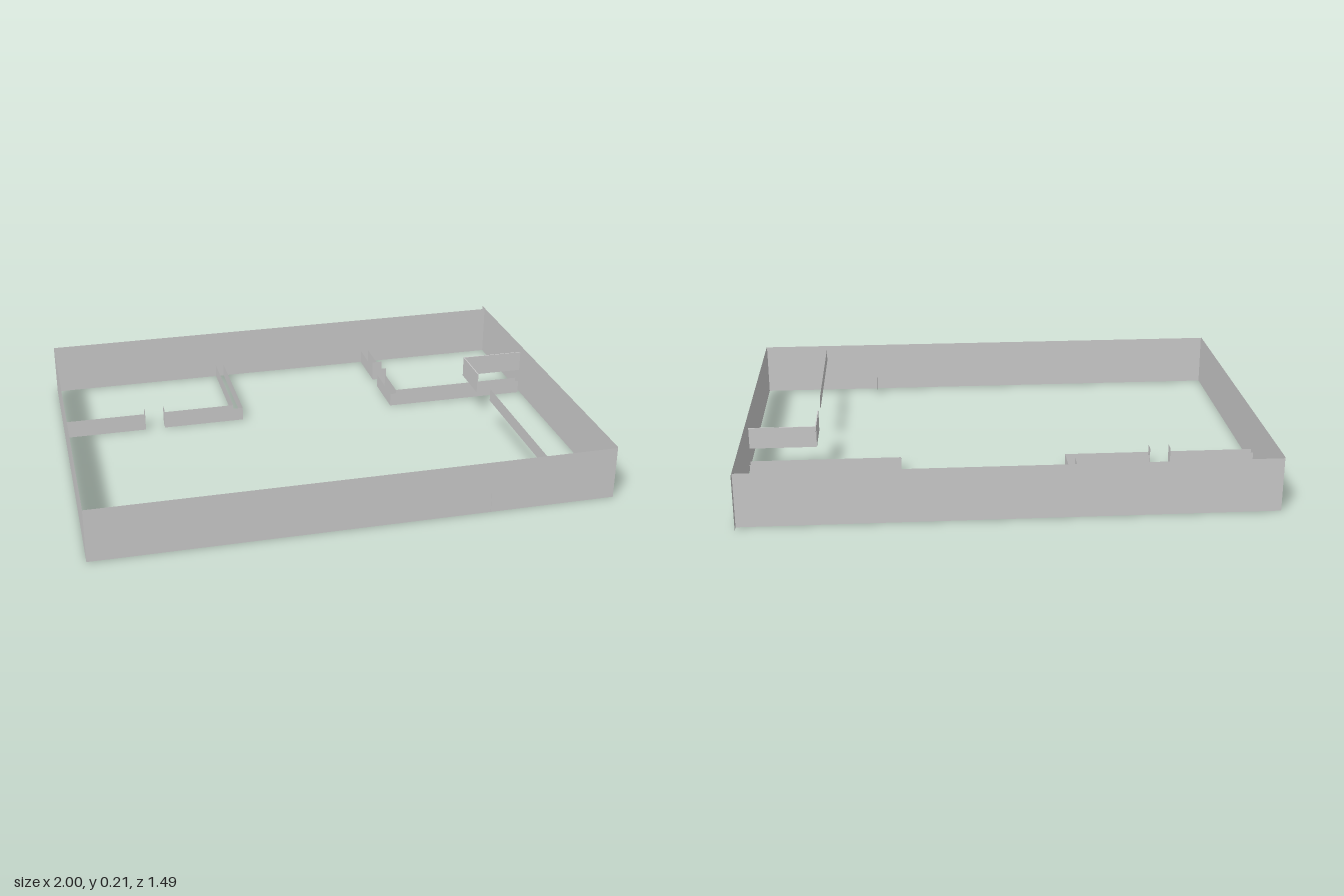
import * as THREE from 'three';

const material = new THREE.MeshStandardMaterial({ color: 0xcccccc, side: THREE.DoubleSide, flatShading: true });

// Upright sheet between two plan points, from height y0 to y1
function panel(name, [xa, za], [xb, zb], y0, y1) {
  const mesh = new THREE.Mesh(new THREE.PlaneGeometry(Math.hypot(xb - xa, zb - za), y1 - y0), material);
  mesh.name = name;
  mesh.position.set((xa + xb) / 2, (y0 + y1) / 2, (za + zb) / 2);
  mesh.rotation.y = -Math.atan2(zb - za, xb - xa);
  return mesh;
}

// Run of sheets through a list of plan points
function run(name, points, y0, y1) {
  const group = new THREE.Group();
  group.name = name;
  for (let i = 0; i < points.length - 1; i++) {
    group.add(panel(name + 'Panel', points[i], points[i + 1], y0, y1));
  }
  return group;
}

export function createModel() {
  const model = new THREE.Group();
  const back = -0.715, front = 0.745;

  // Outer walls; the left wall runs on past the back wall
  model.add(
    panel('frontWall', [-1, front], [1, front], 0, 0.21),
    panel('backWall', [-1, back], [1, back], 0, 0.21),
    panel('rightWall', [-1, back], [-1, front], 0, 0.214),
    panel('leftWall', [1, -0.745], [1, front], 0, 0.214),
  );

  // Low hollow partitions: an outer and an inner skin, open at the top
  const low = 0.055, t = 0.035;
  const skins = {
    rightRoomSide: [
      [[-0.584, -0.245], [-0.25, -0.245], [-0.25, back]],
      [[-0.584, -0.245 - t], [-0.25 - t, -0.245 - t], [-0.25 - t, back]],
    ],
    rightRoomStub: [
      [[-1, -0.245], [-0.665, -0.245]],
      [[-1, -0.245 - t], [-0.665, -0.245 - t]],
    ],
    leftRoomSide: [
      [[0.99, -0.23], [0.4, -0.23], [0.4, -0.435]],
      [[0.99, -0.23 - t], [0.4 + t, -0.23 - t], [0.4 + t, -0.435]],
    ],
    leftRoomStub: [
      [[0.4, -0.51], [0.4, back]],
      [[0.4 + t, -0.51], [0.4 + t, back]],
    ],
  };
  for (const [name, lines] of Object.entries(skins)) {
    for (const line of lines) model.add(run(name, line, 0, low));
  }

  // Taller jambs closing the partitions at each doorway
  const tall = 0.085;
  for (const x of [-0.665, -0.584]) {
    model.add(panel('rightRoomJamb', [x, -0.243], [x, -0.285], 0, tall));
  }
  for (const z of [-0.435, -0.51]) {
    model.add(panel('leftRoomJamb', [0.398, z], [0.44, z], 0, tall));
  }
  model.add(panel('frontJamb', [0.505, 0.66], [0.505, 0.748], 0, tall));

  // Raised strip running back from the front wall
  model.add(panel('raisedStrip', [0.73, 0.1], [0.73, front], 0.14, 0.192));

  // Raised corner screen of two thin boards
  const screen = new THREE.Group();
  screen.name = 'raisedScreen';
  for (const [w, d, x, z] of [[0.26, 0.004, 0.86, -0.23], [0.004, 0.18, 0.73, -0.14]]) {
    const board = new THREE.Mesh(new THREE.BoxGeometry(w, 0.085, d), material);
    board.name = 'screenBoard';
    board.position.set(x, 0.152, z);
    screen.add(board);
  }
  model.add(screen);
  return model;
}
